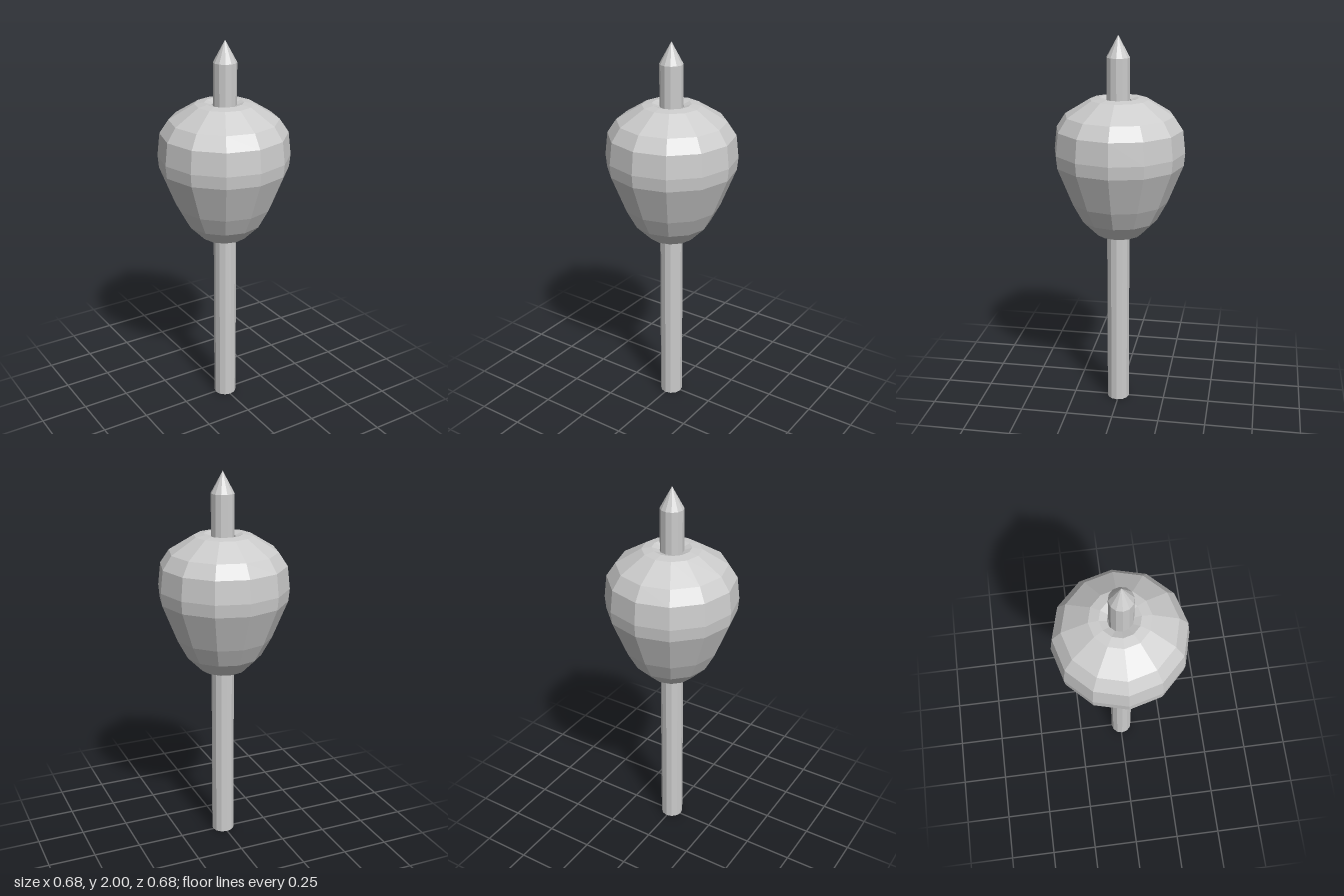
import * as THREE from 'three';

const SIDES = 12;

// Faceted solid of revolution from [radius, height] pairs, listed from the bottom up
function turned(name, profile) {
  const points = profile.map(([r, y]) => new THREE.Vector2(r, y));
  const material = new THREE.MeshStandardMaterial({ color: 0xcccccc, flatShading: true });
  const mesh = new THREE.Mesh(new THREE.LatheGeometry(points, SIDES), material);
  mesh.name = name;
  return mesh;
}

export function createModel() {
  const model = new THREE.Group();
  model.name = 'skeweredBulb';

  // Long straight stick with a sharpened tip, a touch off centre in its hole
  const stick = turned('stick', [[0, 0], [0.06, 0], [0.06, 1.89], [0, 2]]);
  stick.position.set(0.002, 0, 0.005);

  // Bulb with a hole through the middle, wide above and tapering below
  const bulb = turned('bulb', [
    [0.062, 0.97], [0.085, 0.955], [0.12, 0.967], [0.2, 1.048], [0.254, 1.148],
    [0.334, 1.347], [0.34, 1.413], [0.327, 1.53], [0.28, 1.6], [0.15, 1.68],
    [0.1, 1.688], [0.062, 1.675], [0.062, 0.97],
  ]);

  model.add(stick, bulb);
  return model;
}
